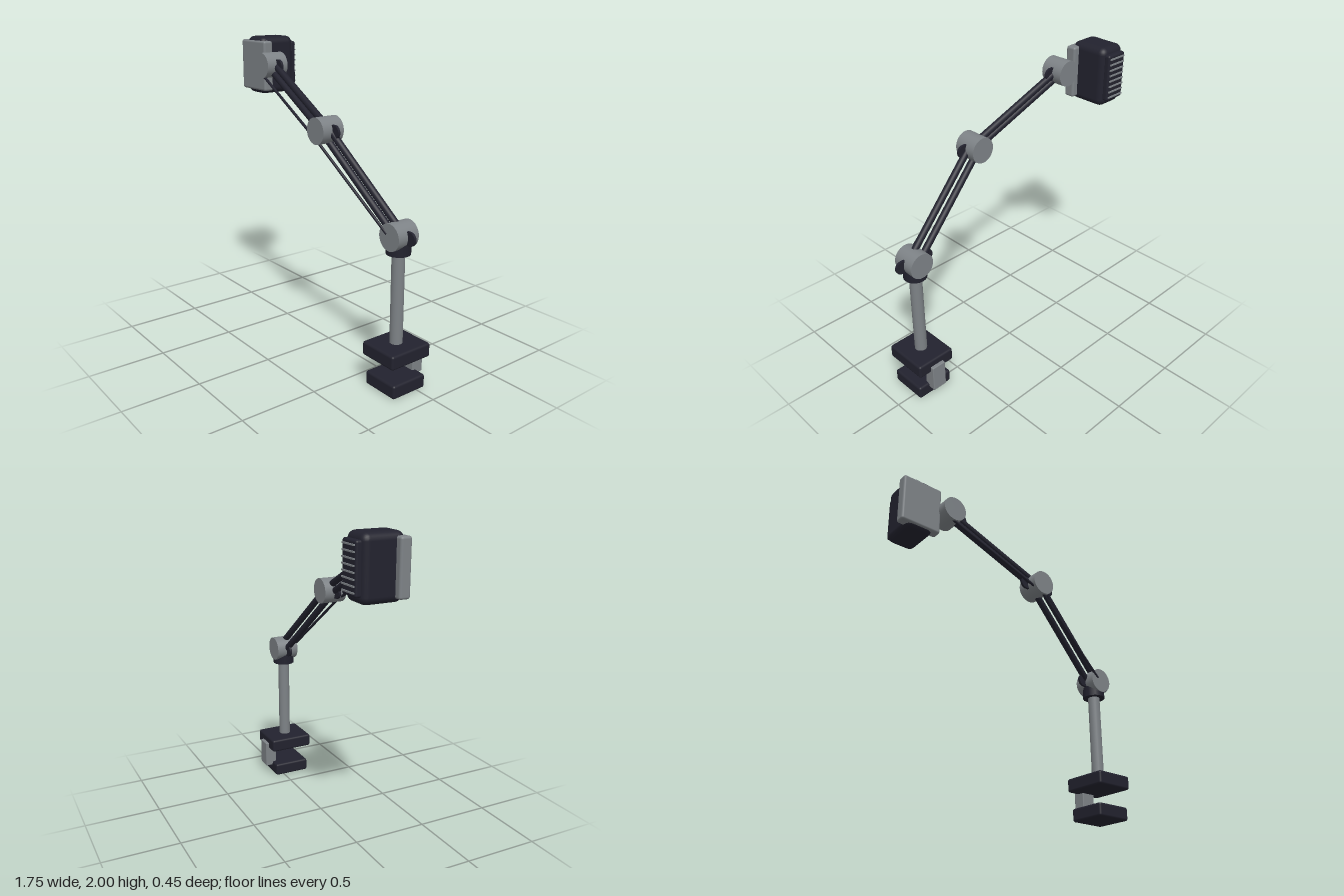
import * as THREE from 'three';
import { RoundedBoxGeometry } from 'three/addons/geometries/RoundedBoxGeometry.js';

export function createModel() {
  const model = new THREE.Group();
  const dark = new THREE.MeshStandardMaterial({ color: 0x22222e });
  dark.name = 'charcoal';
  const grey = new THREE.MeshStandardMaterial({ color: 0x7d8286 });
  grey.name = 'metal grey';

  const add = (name, geometry, material, parent = model) => {
    const mesh = new THREE.Mesh(geometry, material);
    mesh.name = name;
    parent.add(mesh);
    return mesh;
  };
  // Rounded block given by its min and max corners
  const block = (name, min, max, radius, material, parent) => {
    const [w, h, d] = max.map((v, i) => v - min[i]);
    const mesh = add(name, new RoundedBoxGeometry(w, h, d, 3, radius), material, parent);
    mesh.position.set(...max.map((v, i) => (v + min[i]) / 2));
    return mesh;
  };
  // Round bar between two points
  const bar = (name, a, b, radius, material, parent) => {
    const dir = b.clone().sub(a);
    const mesh = add(name, new THREE.CylinderGeometry(radius, radius, dir.length(), 20), material, parent);
    mesh.position.copy(a).add(b).multiplyScalar(0.5);
    mesh.quaternion.setFromUnitVectors(new THREE.Vector3(0, 1, 0), dir.normalize());
    return mesh;
  };
  const V = (x, y, z) => new THREE.Vector3(x, y, z);

  // Desk clamp
  const clamp = new THREE.Group();
  clamp.name = 'clamp';
  model.add(clamp);
  block('upperJaw', [0.605, 0.2, -0.09], [0.875, 0.29, 0.215], 0.015, dark, clamp);
  block('lowerJaw', [0.613, 0, -0.062], [0.867, 0.088, 0.192], 0.015, dark, clamp);
  block('clampBracket', [0.69, 0.06, -0.113], [0.79, 0.245, -0.032], 0.006, grey, clamp);

  // Post and collar
  bar('post', V(0.74, 0.28, 0.065), V(0.74, 0.88, 0.065), 0.04, grey);
  bar('collar', V(0.74, 0.853, 0.065), V(0.74, 0.955, 0.065), 0.074, dark);

  // Joints: a drum along z with a thin round-ended link plate through it
  const base = V(0.74, 0.965, 0.065);
  const elbow = V(0.157, 1.497, 0.148);
  const wrist = V(-0.53, 1.825, 0.078);
  const reach = 0.094, lobe = 0.042, thick = 0.016;
  const outline = new THREE.Shape();
  outline.absarc(reach, 0, lobe, -Math.PI / 2, Math.PI / 2, false);
  outline.absarc(-reach, 0, lobe, Math.PI / 2, Math.PI * 1.5, false);
  const linkGeometry = new THREE.ExtrudeGeometry(outline, { depth: thick, bevelEnabled: false, curveSegments: 16 });
  linkGeometry.translate(0, 0, -thick / 2);
  const drumGeometry = new THREE.CylinderGeometry(0.083, 0.083, 0.155, 40).rotateX(Math.PI / 2);
  for (const [name, p] of [['base', base], ['elbow', elbow], ['wrist', wrist]]) {
    const joint = new THREE.Group();
    joint.name = name + 'Joint';
    joint.position.copy(p);
    model.add(joint);
    add(name + 'Drum', drumGeometry, grey, joint);
    add(name + 'Link', linkGeometry, dark, joint);
  }

  // Paired parallel arm bars
  for (const [name, a, b] of [['lowerArm', base, elbow], ['upperArm', elbow, wrist]]) {
    const arm = new THREE.Group();
    arm.name = name;
    model.add(arm);
    for (const side of [-1, 1]) {
      const offset = V(side * 0.056, 0, 0);
      bar(name + 'Bar', a.clone().add(offset), b.clone().add(offset), 0.0225, dark, arm);
    }
  }

  // Cable along the front of the arms
  const cable = [V(-0.53, 1.75, 0.134), V(0.157, 1.43, 0.206), V(0.715, 0.98, 0.138)];
  for (let i = 0; i < 2; i++) bar('cable', cable[i], cable[i + 1], 0.009, dark);

  // Head: mounting plate, housing and rear grille
  const head = new THREE.Group();
  head.name = 'head';
  model.add(head);
  block('mountingPlate', [-0.878, 1.64, 0.017], [-0.595, 1.975, 0.088], 0.015, grey, head);
  block('housing', [-0.835, 1.615, -0.185], [-0.637, 2, 0.08], 0.045, dark, head);
  block('rearGrille', [-0.812, 1.66, -0.214], [-0.66, 1.962, -0.17], 0.014, dark, head);
  for (let i = 0; i < 8; i++) {
    const slat = add('grilleSlat', new THREE.BoxGeometry(0.13, 0.009, 0.014), grey, head);
    slat.position.set(-0.736, 1.685 + i * 0.036, -0.215);
  }
  return model;
}
